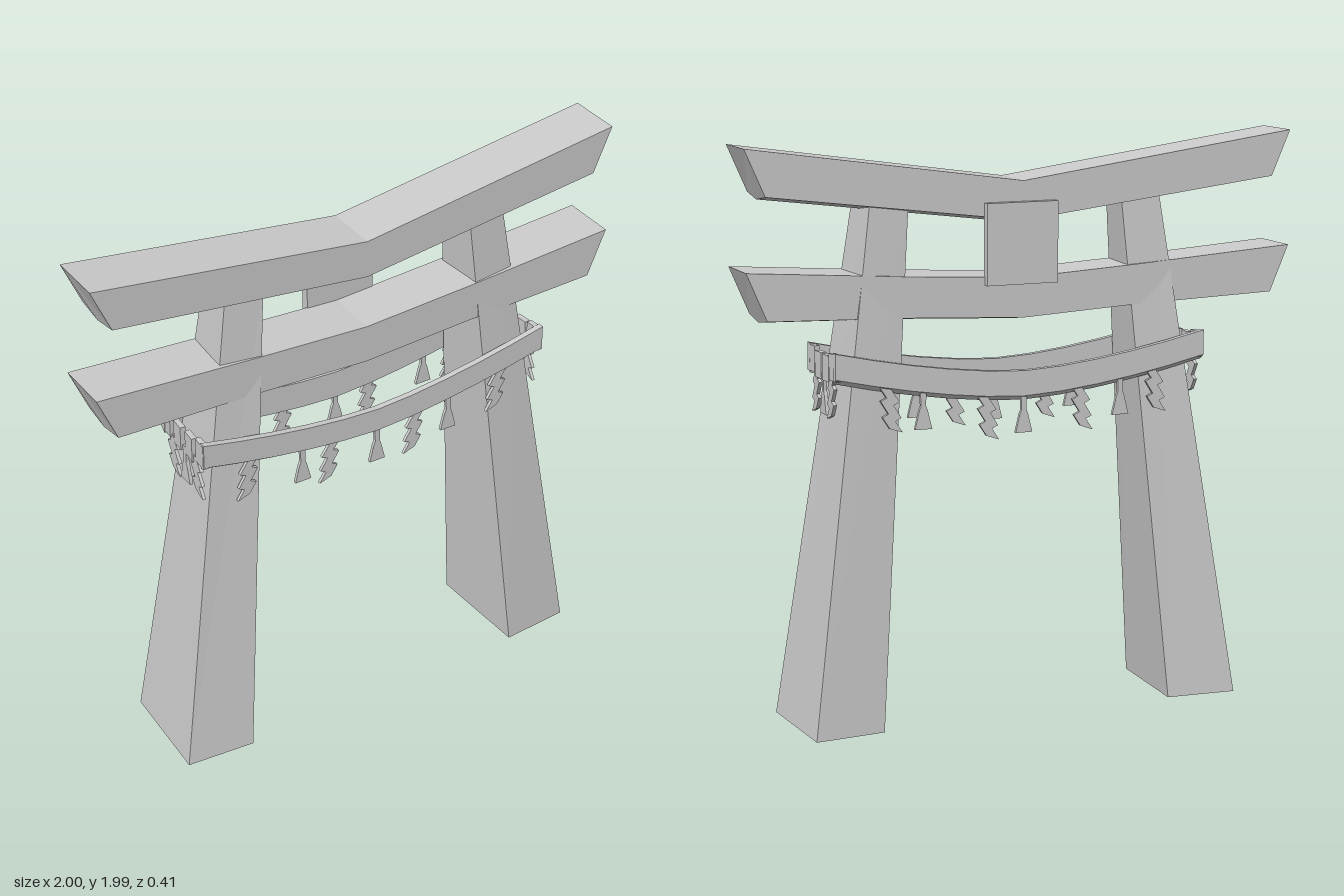
import * as THREE from 'three';

const material = new THREE.MeshStandardMaterial({ color: 0xcccccc, flatShading: true, side: THREE.DoubleSide });
const CX = 0.0325; // centre line between the pillars

function addMesh(parent, name, geometry, x = 0, y = 0, z = 0) {
  const mesh = new THREE.Mesh(geometry, material);
  mesh.name = name;
  mesh.position.set(x, y, z);
  parent.add(mesh);
  return mesh;
}

// Closed, flat-shaded solid through a list of rings (counter-clockwise seen from the last ring)
function loft(rings) {
  const pos = [];
  const tri = (a, b, c) => pos.push(...a, ...b, ...c);
  const n = rings[0].length;
  for (let r = 0; r < rings.length - 1; r++) {
    const a = rings[r], b = rings[r + 1];
    for (let i = 0; i < n; i++) {
      const j = (i + 1) % n;
      tri(a[i], a[j], b[j]);
      tri(a[i], b[j], b[i]);
    }
  }
  const first = rings[0], last = rings[rings.length - 1];
  for (let i = 1; i < n - 1; i++) {
    tri(first[0], first[i + 1], first[i]);
    tri(last[0], last[i], last[i + 1]);
  }
  const g = new THREE.BufferGeometry();
  g.setAttribute('position', new THREE.Float32BufferAttribute(pos, 3));
  g.computeVertexNormals();
  return g;
}

// Beam with a shallow keel below; stations are [topX, topY, bottomX, bottomY]
function beam(stations) {
  const d = 0.1;
  return loft(stations.map(([tx, ty, bx, by]) => [
    [tx, ty, -d], [tx, ty, d], [bx, by, d], [bx, by - 0.016, 0], [bx, by, -d],
  ]));
}

// Tapering, slightly twisted pillar; side is +1 or -1
function pillar(side) {
  const bottom = [[0.785, -0.21], [0.535, -0.19], [0.553, 0.2], [0.803, 0.18]];
  const top = [[0.53, -0.08], [0.39, -0.072], [0.402, 0.078], [0.54, 0.07]];
  const ring = (pts, y) => {
    const r = pts.map(([x, z]) => [CX + side * x, y, z]);
    return side > 0 ? r : r.reverse();
  };
  return loft([ring(bottom, 0), ring(top, 1.8)]);
}

// Sagging rope band
const ropeTop = (dx) => 1.206 + 0.1 * Math.pow(Math.abs(dx) / 0.68, 1.6);
function ropeBand() {
  const rings = [];
  for (let i = 0; i <= 10; i++) {
    const x = -0.68 + 0.136 * i, y = ropeTop(x);
    rings.push([[x, y, 0.123], [x, y, 0.146], [x, y - 0.087, 0.146], [x, y - 0.104, 0.123]]);
  }
  return loft(rings);
}

function flatShape(points) {
  const shape = new THREE.Shape(points.map(([x, y]) => new THREE.Vector2(x, y)));
  const g = new THREE.ExtrudeGeometry(shape, { depth: 0.012, bevelEnabled: false });
  return g.translate(0, 0, -0.006);
}

// Folded paper streamer: a sawtooth strip stepping to one side
function streamer() {
  const left = [[0, 0], [-0.03, -0.045], [-0.008, -0.055], [-0.036, -0.1], [-0.014, -0.11], [-0.04, -0.15]];
  const right = left.map(([x, y]) => [x + 0.046, y + 0.016]).reverse();
  return flatShape([...left, ...right]);
}

// Tassel: narrow neck flaring to a skirt
function tassel() {
  return flatShape([[-0.011, 0.015], [-0.009, -0.045], [-0.015, -0.06], [-0.031, -0.125],
    [0.031, -0.125], [0.015, -0.06], [0.009, -0.045], [0.011, 0.015]]);
}

export function createModel() {
  const gate = new THREE.Group();
  gate.name = 'gate';

  addMesh(gate, 'rightPillar', pillar(-1));
  addMesh(gate, 'leftPillar', pillar(1));

  // Bent top beam and gently curved tie beam
  addMesh(gate, 'topBeam', beam([
    [-1, 1.99, -0.93, 1.83], [0.015, 1.85, 0.015, 1.715], [1, 1.99, 0.93, 1.83]]));
  addMesh(gate, 'tieBeam', beam([
    [-1, 1.584, -0.93, 1.42], [-0.41, 1.544, -0.41, 1.404], [0.015, 1.52, 0.015, 1.382],
    [0.44, 1.544, 0.44, 1.404], [1, 1.584, 0.93, 1.42]]));

  // Plaque on the back, between the beams
  addMesh(gate, 'plaque', new THREE.BoxGeometry(0.26, 0.28, 0.03), 0.03, 1.64, -0.11);

  // Rope along the front and back, with its hangings
  const rope = new THREE.Group();
  rope.name = 'rope';
  gate.add(rope);
  const hangings = [
    { s: 1, streamers: [-0.48, -0.16, 0.18, 0.525], tassels: [-0.265, 0.033, 0.325] },
    { s: -1, streamers: [-0.465, -0.185, 0.165, 0.515], tassels: [-0.33, 0.033, 0.4] },
  ];
  for (const { s, streamers, tassels } of hangings) {
    const band = addMesh(rope, s > 0 ? 'frontRope' : 'backRope', ropeBand(), CX);
    if (s < 0) band.rotation.y = Math.PI;
    const hangY = (x) => ropeTop(x - CX) - 0.09;
    for (const x of streamers) addMesh(rope, 'paperStreamer', streamer(), x, hangY(x), s * 0.135);
    for (const x of tassels) addMesh(rope, 'tassel', tassel(), x, hangY(x), s * 0.135);
  }

  // Rope segments and hangings around the outer side of each pillar
  for (const s of [-1, 1]) {
    const x = CX + s * 0.669;
    for (const [z, y, w] of [[0.113, 1.255, 0.06], [0.04, 1.243, 0.054], [-0.036, 1.243, 0.054], [-0.11, 1.255, 0.06]]) {
      const segment = addMesh(rope, 'sideRopeSegment', new THREE.BoxGeometry(0.02, 0.09, w), x, y, z);
      segment.rotation.y = 0.08 * s;
    }
    for (const z of [-0.075, 0.08]) {
      addMesh(rope, 'sideStreamer', streamer(), x, 1.22, z).rotation.y = Math.PI / 2;
    }
    addMesh(rope, 'sideTassel', tassel(), x, 1.205, 0.003).rotation.y = Math.PI / 2;
  }
  return gate;
}
